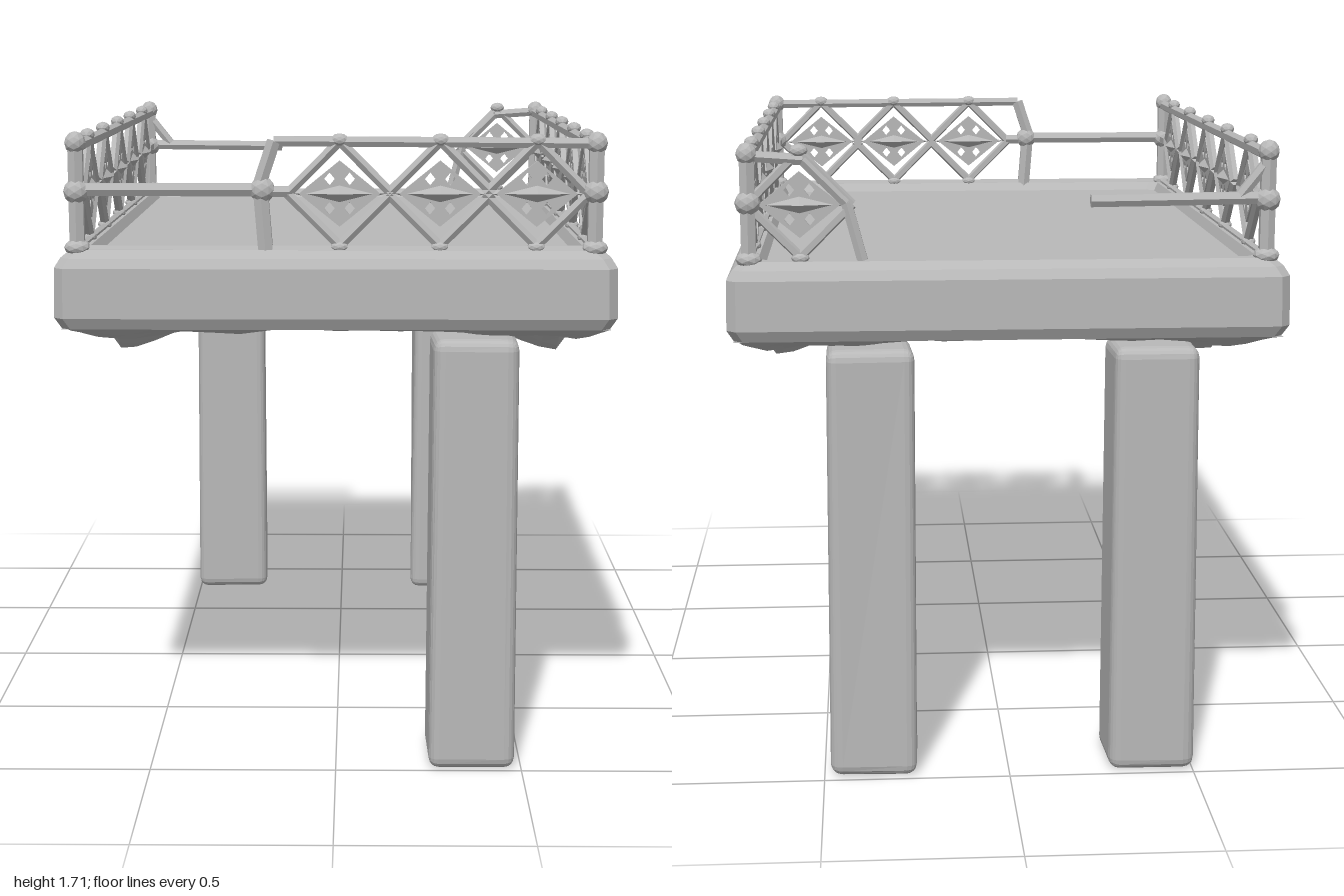
import * as THREE from 'three';
import { RoundedBoxGeometry } from 'three/addons/geometries/RoundedBoxGeometry.js';

const stone = new THREE.MeshStandardMaterial({ color: 0xb8b8b8, flatShading: true, side: THREE.DoubleSide });
stone.name = 'grey stone';

function add(parent, geometry, name) {
  const mesh = new THREE.Mesh(geometry, stone);
  mesh.name = name;
  parent.add(mesh);
  return mesh;
}

// small repeatable unevenness for hewn surfaces
const rough = (x, y, z) => Math.sin(x * 23 + y * 11 + z * 5) * Math.cos(z * 19 - y * 7 + x * 3);

// bar between two points
function bar(parent, a, b, radius, name, sides = 6) {
  const from = new THREE.Vector3(...a), to = new THREE.Vector3(...b);
  const dir = to.clone().sub(from);
  const mesh = add(parent, new THREE.CylinderGeometry(radius, radius, dir.length(), sides), name);
  mesh.position.copy(from).add(to).multiplyScalar(0.5);
  mesh.quaternion.setFromUnitVectors(new THREE.Vector3(0, 1, 0), dir.normalize());
  return mesh;
}

function knob(parent, p, sx, sy, sz, name) {
  const mesh = add(parent, new THREE.IcosahedronGeometry(1, 1), name);
  mesh.position.set(...p);
  mesh.scale.set(sx, sy, sz);
}

// slab: chamfered rectangular rings stacked from underside edge to sunken deck
function slabGeometry() {
  const rings = [[0.715, 0.975, 1.205], [0.732, 0.992, 1.235], [0.73, 0.99, 1.365], [0.715, 0.975, 1.39],
    [0.69, 0.95, 1.41], [0.65, 0.915, 1.41], [0.635, 0.895, 1.385]];
  const c = 0.025, pos = [], index = [];
  for (const [w, d, y] of rings) {
    for (const [x, z] of [[w, d - c], [w, c - d], [w - c, -d], [c - w, -d], [-w, c - d], [-w, d - c], [c - w, d], [w - c, d]]) {
      pos.push(x, y, z);
    }
  }
  for (let r = 0; r < rings.length - 1; r++) {
    for (let i = 0; i < 8; i++) {
      const a = r * 8 + i, b = r * 8 + (i + 1) % 8;
      index.push(a, b, b + 8, a, b + 8, a + 8);
    }
  }
  const last = (rings.length - 1) * 8;
  for (let i = 1; i < 7; i++) index.push(last, last + i, last + i + 1);
  const g = new THREE.BufferGeometry();
  g.setAttribute('position', new THREE.Float32BufferAttribute(pos, 3));
  g.setIndex(index);
  g.computeVertexNormals();
  return g;
}

// vaulted underside with two hanging brackets along each long side
function undersideGeometry() {
  const g = new THREE.PlaneGeometry(2, 2, 26, 44);
  g.rotateX(Math.PI / 2);
  const p = g.attributes.position;
  for (let i = 0; i < p.count; i++) {
    const u = p.getX(i), v = p.getZ(i);
    const x = 0.715 * Math.sin(u * Math.PI / 2);
    const z = 0.975 * v;
    const edge = Math.min(1, (0.715 - Math.abs(x)) / 0.07, (0.975 - Math.abs(z)) / 0.1);
    const bump = Math.exp(-(((Math.abs(z) - 0.32) / 0.15) ** 2));
    const out = Math.min(1, Math.abs(x) / 0.6) ** 1.7;
    const drop = 0.015 + out * (0.025 + 0.115 * bump) + 0.008 * rough(x, 0, z);
    p.setXYZ(i, x, 1.205 - edge * drop, z);
  }
  g.computeVertexNormals();
  return g;
}

// roughly hewn square pillar
function leg(parent, x, z, name) {
  const g = new RoundedBoxGeometry(0.235, 1.17, 0.225, 2, 0.03);
  const p = g.attributes.position;
  for (let i = 0; i < p.count; i++) {
    const k = 1 - 0.03 * (p.getY(i) + 0.58);
    const n = 0.005 * rough(p.getX(i) + x, p.getY(i), p.getZ(i) + z);
    p.setX(i, p.getX(i) * k + n);
    p.setZ(i, p.getZ(i) * k - n);
  }
  g.computeVertexNormals();
  add(parent, g, name).position.set(x, 0.595, z);
}

// pierced plate in the middle of each railing lozenge
function plateGeometry() {
  const diamond = (w, h, x, y) => [[w, 0], [0, h], [-w, 0], [0, -h]].map(([a, b]) => new THREE.Vector2(a + x, b + y));
  const shape = new THREE.Shape(diamond(0.105, 0.085, 0, 0));
  for (const x of [-0.026, 0.026]) {
    for (const y of [-0.038, 0.038]) shape.holes.push(new THREE.Path(diamond(0.014, 0.017, x, y)));
  }
  const g = new THREE.ExtrudeGeometry(shape, { depth: 0.016, bevelEnabled: false });
  return g.translate(0, 0, -0.008);
}

// lozenge frame with its plate and pointed central blade, facing z
function lozenge(parent, x, z, turn) {
  const g = new THREE.Group();
  g.name = 'railingLozenge';
  const corners = [[0.135, 0, 0], [0, 0.135, 0], [-0.135, 0, 0], [0, -0.135, 0]];
  corners.forEach((a, i) => bar(g, a, corners[(i + 1) % 4], 0.013, 'lozengeFrame', 5));
  add(g, plateGeometry(), 'lozengePlate');
  add(g, new THREE.OctahedronGeometry(1), 'lozengeBlade').scale.set(0.12, 0.03, 0.028);
  knob(g, [0, 0.138, 0], 0.024, 0.017, 0.02, 'lozengeTip');
  knob(g, [0, -0.138, 0], 0.024, 0.015, 0.02, 'lozengeFoot');
  g.position.set(x, 1.555, z);
  g.rotation.y = turn;
  parent.add(g);
}

function cornerPost(parent, x, z) {
  const g = new THREE.Group();
  g.name = 'cornerPost';
  bar(g, [x, 1.37, z], [x, 1.7, z], 0.022, 'postShaft');
  knob(g, [x, 1.56, z], 0.034, 0.034, 0.034, 'postKnob');
  knob(g, [x, 1.685, z], 0.028, 0.03, 0.03, 'postCap');
  knob(g, [x, 1.415, z], 0.035, 0.022, 0.035, 'postFoot');
  parent.add(g);
}

export function createModel() {
  const model = new THREE.Group();
  model.name = 'raisedPlatform';

  add(model, slabGeometry(), 'slab');
  add(model, undersideGeometry(), 'underside');

  // three pillars, one front corner stands free
  leg(model, 0.365, 0.885, 'frontLeg');
  leg(model, 0.365, -0.875, 'backLeftLeg');
  leg(model, -0.385, -0.875, 'backRightLeg');

  // long side railings
  const X = 0.672, Z = 0.93;
  for (const s of [-1, 1]) {
    const side = new THREE.Group();
    side.name = s > 0 ? 'leftRailing' : 'rightRailing';
    bar(side, [s * X, 1.675, -Z], [s * X, 1.675, Z], 0.017, 'topRail');
    bar(side, [s * X, 1.41, -Z], [s * X, 1.41, Z], 0.012, 'bottomRail');
    for (const z of [-0.68, -0.32, 0.01, 0.36, 0.69]) lozenge(side, s * X, z, Math.PI / 2);
    for (const e of [-1, 1]) {
      cornerPost(side, s * X, e * Z);
      bar(side, [s * X, 1.56, e * 0.81], [s * X, 1.56, e * Z], 0.018, 'endBrace');
    }
    model.add(side);
  }

  // front railing: high part with lozenges, low part with a single rail
  const front = new THREE.Group();
  front.name = 'frontRailing';
  bar(front, [-0.16, 1.69, Z], [X, 1.685, Z], 0.015, 'topRail');
  bar(front, [-0.2, 1.57, Z], [-0.16, 1.69, Z], 0.02, 'slopedEnd');
  bar(front, [-0.18, 1.38, Z], [-0.195, 1.57, Z], 0.022, 'middlePost');
  bar(front, [-X, 1.565, Z], [-0.19, 1.565, Z], 0.019, 'lowRail');
  bar(front, [-X, 1.41, Z], [X, 1.41, Z], 0.012, 'bottomRail');
  bar(front, [-0.19, 1.56, Z], [-0.12, 1.56, Z], 0.016, 'endBrace');
  knob(front, [-0.19, 1.565, Z], 0.034, 0.034, 0.03, 'middleKnob');
  for (const x of [0.01, 0.27, 0.52]) lozenge(front, x, Z, 0);
  model.add(front);

  // broken back railing: loose rail at one end, torn panel at the other
  const back = new THREE.Group();
  back.name = 'backRailing';
  bar(back, [-X, 1.565, -Z], [-0.21, 1.56, -Z - 0.005], 0.018, 'looseRail');
  bar(back, [-X, 1.66, -Z], [-0.6, 1.57, -Z], 0.016, 'railBracket');
  const torn = [[X, 1.68, -Z], [0.53, 1.67, -Z], [0.42, 1.56, -Z], [0.38, 1.41, -Z]];
  for (let i = 0; i < 3; i++) bar(back, torn[i], torn[i + 1], 0.016, 'tornRail');
  lozenge(back, 0.54, -Z, 0);
  model.add(back);

  return model;
}
